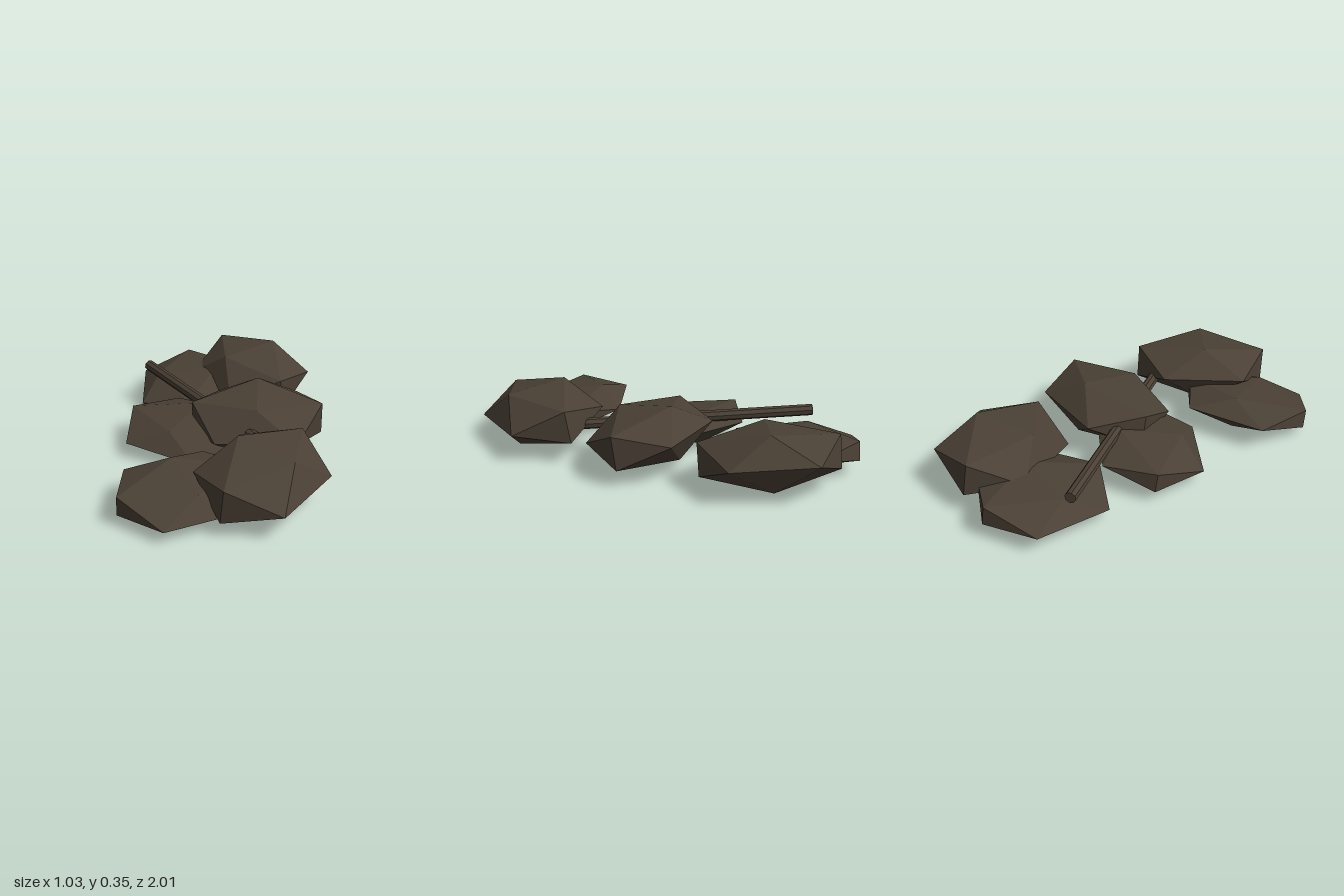
import * as THREE from 'three';

const brown = new THREE.MeshStandardMaterial({ color: 0x4a4035, flatShading: true });
brown.name = 'dark brown';

// Flattened faceted leaf clump: centre, short and long horizontal axes, half thickness
function clump(name, centre, shortAxis, longAxis, thickness) {
  const ex = new THREE.Vector3(...shortAxis);
  const ez = new THREE.Vector3(...longAxis);
  const ey = new THREE.Vector3().crossVectors(ez, ex).setLength(thickness);
  const geometry = new THREE.IcosahedronGeometry(1, 0);
  geometry.applyMatrix4(new THREE.Matrix4().makeBasis(ex, ey, ez));
  geometry.computeVertexNormals();
  const mesh = new THREE.Mesh(geometry, brown);
  mesh.name = name;
  mesh.position.set(...centre);
  return mesh;
}

// Straight round stick between two points
function stick(name, from, to, radius) {
  const a = new THREE.Vector3(...from);
  const b = new THREE.Vector3(...to);
  const dir = b.clone().sub(a);
  const mesh = new THREE.Mesh(new THREE.CylinderGeometry(radius, radius, dir.length(), 8), brown);
  mesh.name = name;
  mesh.position.copy(a).add(b).multiplyScalar(0.5);
  mesh.quaternion.setFromUnitVectors(new THREE.Vector3(0, 1, 0), dir.normalize());
  return mesh;
}

export function createModel() {
  const model = new THREE.Group();
  model.name = 'clumpsOnStick';

  const thick = 0.168, thin = 0.097;
  const clumps = [
    // Thick upper clumps on the left
    ['frontUpperClump', [0.167, 0.182, 0.67], [-0.242, 0.048, -0.18], [0.235, 0.026, -0.34], thick],
    ['middleUpperClump', [0.17, 0.183, 0.01], [0.02, 0.05, -0.3], [0.4, 0, 0.02], thick],
    ['backUpperClump', [0.167, 0.183, -0.653], [0.267, 0.04, -0.143], [0.184, -0.03, 0.368], thick],
    // Thin lower clumps on the right
    ['frontLowerClump', [-0.204, 0.108, 0.683], [-0.121, 0.044, -0.287], [0.367, 0.01, -0.165], thin],
    ['middleLowerClump', [-0.202, 0.107, 0.004], [0.16, 0.042, -0.256], [0.338, -0.018, 0.217], thin],
    ['backLowerClump', [-0.193, 0.11, -0.656], [0.31, 0.027, 0], [0, -0.033, 0.4], thin],
  ];
  for (const c of clumps) model.add(clump(...c));

  // Stick running diagonally through the clumps
  model.add(stick('stick', [-0.422, 0.222, -0.65], [0.4, 0.165, 0.67], 0.03));
  return model;
}
